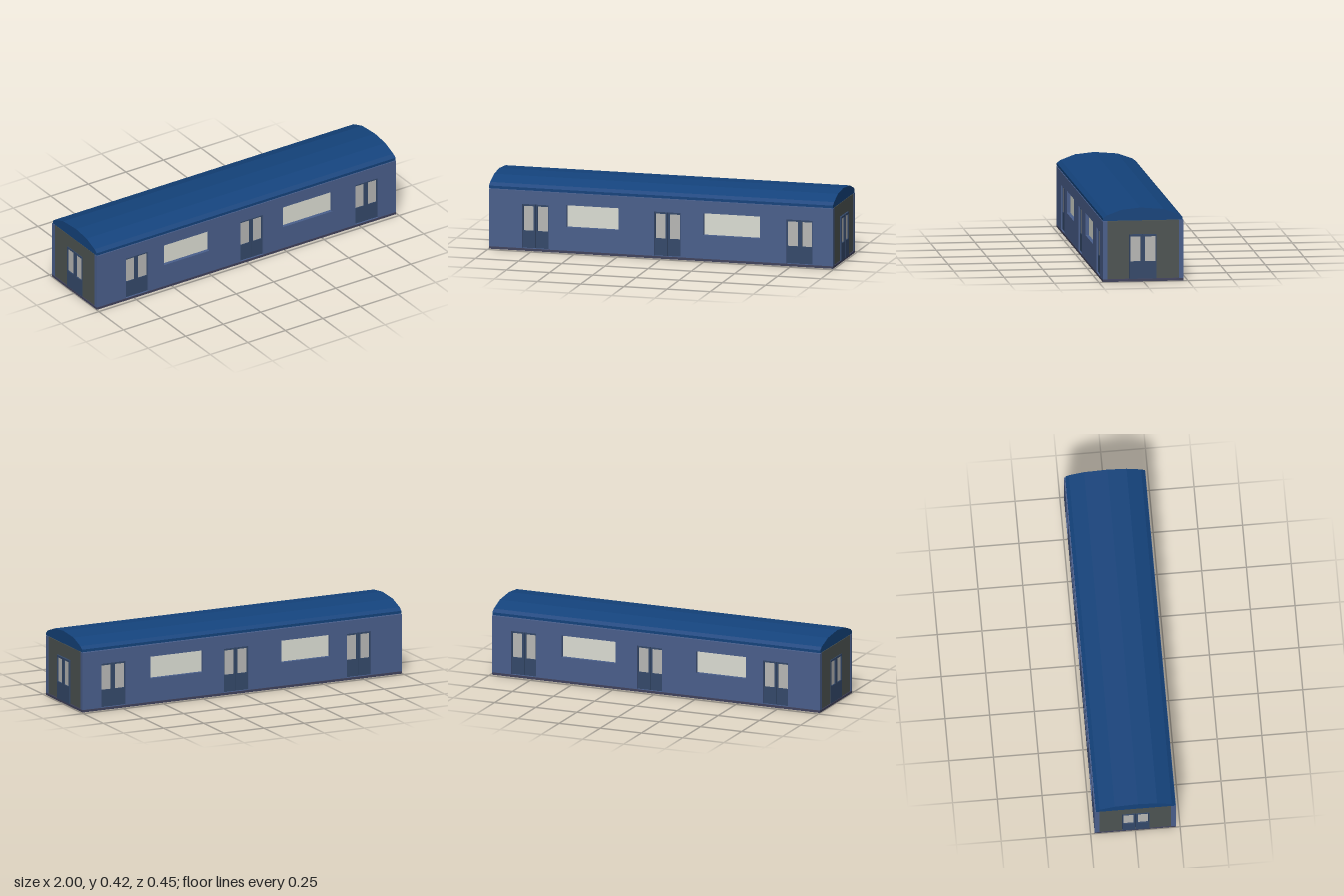
import * as THREE from 'three';

const mat = (color) => new THREE.MeshStandardMaterial({ color, flatShading: true });
const M = {
  wall: mat(0x4a5f8c), end: mat(0x4d5452), door: mat(0x34496a), roof: mat(0x14437c),
  floor: mat(0x40425c), window: mat(0xdcded4), doorGlass: mat(0xb8b8b6),
};

const X0 = -0.998, X1 = 0.992;      // body ends
const FLOOR = 0.014, TOP = 0.341;   // wall bottom and top
const HALF = 0.227, THICK = 0.027;  // half width and side wall thickness
const DOOR_W = 0.152, DOOR_TOP = 0.266;
const DOORS = [-0.73, 0.034, 0.799];
const WINDOWS = [[-0.55, -0.248], [0.242, 0.57]];
const WIN_Y = [0.148, 0.273];

function mesh(name, geometry, material, parent) {
  const m = new THREE.Mesh(geometry, material);
  m.name = name;
  parent.add(m);
  return m;
}

// Flat panel in XY with rectangular holes [x0, y0, x1, y1], extruded from z to z + depth
function panel([x0, y0, x1, y1], holes, z, depth) {
  const trace = (path, a, b, c, d) =>
    path.moveTo(a, b).lineTo(c, b).lineTo(c, d).lineTo(a, d).closePath();
  const shape = trace(new THREE.Shape(), x0, y0, x1, y1);
  for (const h of holes) shape.holes.push(trace(new THREE.Path(), ...h));
  return new THREE.ExtrudeGeometry(shape, { depth, bevelEnabled: false }).translate(0, 0, z);
}

// Pair of sliding leaves, each with one pane; the outer face is at z = front
function doubleDoor(cx, front, depth) {
  const door = new THREE.Group();
  door.name = 'doubleDoor';
  for (const s of [-1, 1]) {
    const leaf = new THREE.Group();
    leaf.name = 'doorLeaf';
    leaf.position.x = cx + s * DOOR_W / 4;
    const w = DOOR_W / 4 - 0.0008;
    const glass = [-0.029 + s * 0.003, 0.114, 0.029 + s * 0.003, 0.254];
    mesh('leafFrame', panel([-w, FLOOR + 0.002, w, DOOR_TOP - 0.001], [glass], front - depth, depth), M.door, leaf);
    mesh('doorPane', panel(glass, [], front - depth * 0.7, depth * 0.4), M.doorGlass, leaf);
    door.add(leaf);
  }
  return door;
}

// Long wall facing local +z; flip = -1 mirrors the layout for the far side
function sideWall(flip) {
  const wall = new THREE.Group();
  wall.name = flip > 0 ? 'frontWall' : 'backWall';
  const span = (a, b) => [Math.min(a * flip, b * flip), Math.max(a * flip, b * flip)];
  const [a, b] = span(X0, X1);
  const holes = DOORS.map((x) => [x * flip - DOOR_W / 2, FLOOR + 0.001, x * flip + DOOR_W / 2, DOOR_TOP]);
  for (const win of WINDOWS) {
    const [l, r] = span(...win);
    const hole = [l, WIN_Y[0], r, WIN_Y[1]];
    holes.push(hole);
    mesh('windowPane', panel(hole, [], HALF - THICK + 0.002, 0.005), M.window, wall);
  }
  mesh('wallPanel', panel([a, FLOOR, b, TOP], holes, HALF - THICK, THICK), M.wall, wall);
  for (const x of DOORS) wall.add(doubleDoor(x * flip, HALF - 0.008, 0.016));
  return wall;
}

// Short wall facing local +z
function endWall(outer, cx) {
  const wall = new THREE.Group();
  wall.name = 'endWall';
  const w = HALF - THICK;
  const hole = [cx - DOOR_W / 2, FLOOR + 0.002, cx + DOOR_W / 2, DOOR_TOP];
  mesh('endPanel', panel([-w, FLOOR + 0.002, w, TOP], [hole], outer - 0.02, 0.02), M.end, wall);
  wall.add(doubleDoor(cx, 1, 0.024));
  return wall;
}

export function createModel() {
  const car = new THREE.Group();
  car.name = 'railCar';
  const length = X1 - X0, mid = (X0 + X1) / 2;

  // Floor slab
  mesh('floor', new THREE.BoxGeometry(length, 0.013, HALF * 2), M.floor, car).position.set(mid, 0.0065, 0);

  // Long walls
  car.add(sideWall(1));
  const back = sideWall(-1);
  back.rotation.y = Math.PI;
  car.add(back);

  // End walls
  for (const s of [1, -1]) {
    const end = endWall(s > 0 ? X1 - 0.001 : -X0 - 0.001, -0.0025 * s);
    end.rotation.y = s * Math.PI / 2;
    car.add(end);
  }

  // Faceted arched roof, swept along x
  const arch = [[-0.225, 0.344], [0.22, 0.344], [0.22, 0.359], [0.2, 0.375], [0.115, 0.405],
    [-0.015, 0.416], [-0.122, 0.405], [-0.203, 0.375], [-0.225, 0.359]];
  const shape = new THREE.Shape(arch.map(([x, y]) => new THREE.Vector2(x, y)));
  const roof = mesh('roof', new THREE.ExtrudeGeometry(shape, { depth: length, bevelEnabled: false }), M.roof, car);
  roof.rotation.y = Math.PI / 2;
  roof.position.x = X0;

  return car;
}
